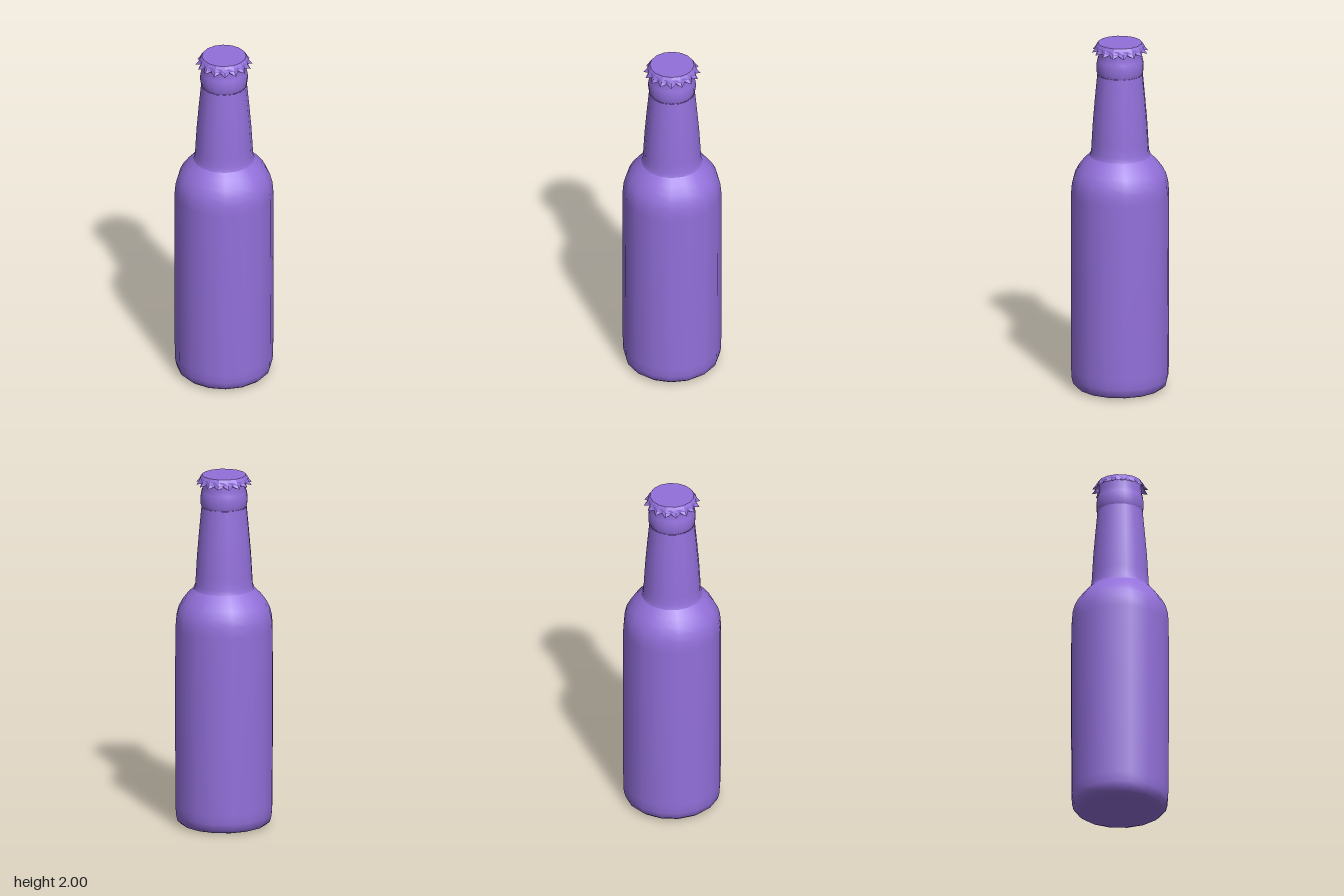
import * as THREE from 'three';

const SIDES = 16;
const material = new THREE.MeshStandardMaterial({ color: 0x9370db, side: THREE.DoubleSide });

function lathe(name, profile, segments = SIDES) {
  const points = profile.map(([r, y]) => new THREE.Vector2(r, y));
  const mesh = new THREE.Mesh(new THREE.LatheGeometry(points, segments), material);
  mesh.name = name;
  return mesh;
}

// Crown cap: a flat lid with a skirt that flares into one tooth per side
function createCap() {
  const cap = lathe('cap', [[0.157, 1.948], [0.14, 1.97], [0.132, 1.985], [0.122, 2], [0, 2]], SIDES * 2);
  const pos = cap.geometry.attributes.position;
  for (let i = 0; i < pos.count; i++) {
    const x = pos.getX(i), y = pos.getY(i), z = pos.getZ(i);
    const step = Math.round(Math.atan2(x, z) * SIDES / Math.PI);
    if (step % 2 === 0) continue;
    // Between teeth the skirt is pinched in and lifted
    const rim = y < 1.95, skirt = y < 1.98;
    const s = rim ? 0.133 / 0.157 : skirt ? 0.131 / 0.14 : Math.cos(Math.PI / SIDES);
    pos.setXYZ(i, x * s, rim ? 1.96 : y, z * s);
  }
  cap.geometry = cap.geometry.toNonIndexed();
  cap.geometry.computeVertexNormals();
  cap.material = material.clone();
  cap.material.flatShading = true;
  return cap;
}

export function createModel() {
  const bottle = new THREE.Group();
  bottle.name = 'bottle';

  // Body with rounded foot and sloping shoulder
  bottle.add(lathe('body', [
    [0.215, 0.004], [0.24, 0.012], [0.26, 0.03], [0.269, 0.065], [0.272, 0.12], [0.274, 0.6],
    [0.273, 1.13], [0.268, 1.19], [0.256, 1.235], [0.235, 1.275], [0.205, 1.315], [0.17, 1.35],
  ]));

  // Tapering neck
  bottle.add(lathe('neck', [
    [0.17, 1.35], [0.161, 1.375], [0.158, 1.43], [0.151, 1.55], [0.14, 1.68], [0.127, 1.82],
  ]));

  // Lip ring and mouth, closed beneath the cap
  bottle.add(lathe('lip', [
    [0.125, 1.82], [0.131, 1.84], [0.132, 1.875], [0.127, 1.905], [0.12, 1.925], [0.118, 1.985],
  ]));

  // Flat underside
  const base = new THREE.Mesh(new THREE.CircleGeometry(0.215, SIDES), material);
  base.name = 'base';
  base.rotation.x = Math.PI / 2;
  base.position.y = 0.004;
  bottle.add(base);

  bottle.add(createCap());
  return bottle;
}
